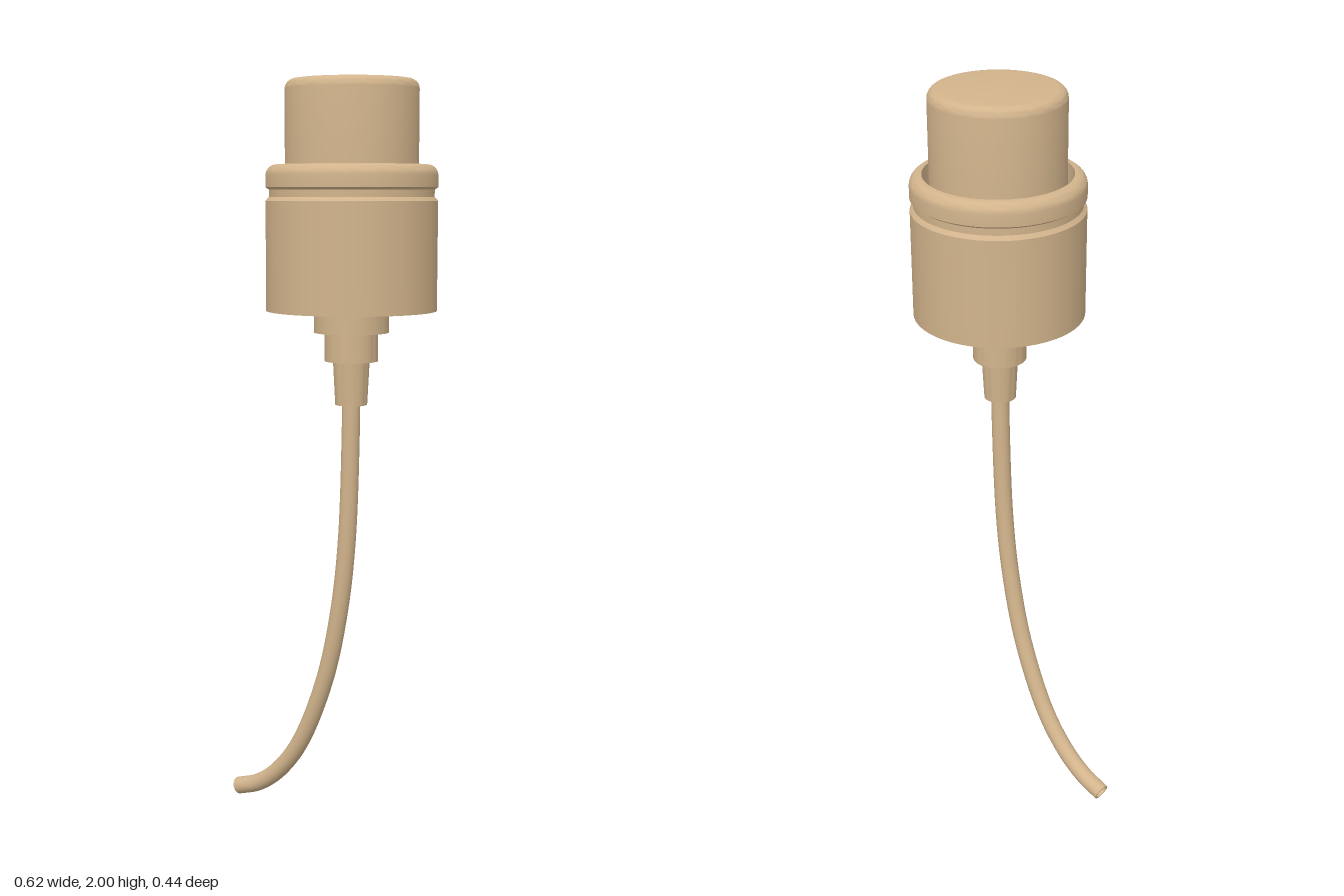
import * as THREE from 'three';
import { toCreasedNormals } from 'three/addons/utils/BufferGeometryUtils.js';

const AXIS_X = 0.088; // the pump stands off-centre because the dip tube bends to -x

export function createModel() {
  const model = new THREE.Group();
  model.name = 'dispenserPump';
  const material = new THREE.MeshStandardMaterial({ color: 0xd2b48c, side: THREE.DoubleSide });

  const add = (name, geometry, x = 0) => {
    const mesh = new THREE.Mesh(geometry, material);
    mesh.name = name;
    mesh.position.x = x;
    model.add(mesh);
    return mesh;
  };

  // Turned part from [radius, y] points, counter-clockwise in section
  const turned = (name, points) => {
    const profile = points.map(([r, y]) => new THREE.Vector2(r, y));
    add(name, toCreasedNormals(new THREE.LatheGeometry(profile, 96), 0.6), AXIS_X);
  };

  // Quarter-round corner points around (r, y), between two angles
  const arc = (r, y, radius, from, to, steps = 6) =>
    Array.from({ length: steps + 1 }, (_, i) => {
      const a = from + ((to - from) * i) / steps;
      return [r + radius * Math.cos(a), y + radius * Math.sin(a)];
    });

  // Push button with a rounded rim
  turned('pushButton', [
    [0, 1.7], [0.172, 1.7],
    ...arc(0.147, 1.975, 0.025, 0, Math.PI / 2),
    [0, 2],
  ]);

  // Hollow collar: thin skirt, groove, rounded bead, well around the button
  turned('collar', [
    [0.21, 1.412], [0.222, 1.412],
    [0.222, 1.694], [0.213, 1.704], [0.213, 1.722], [0.222, 1.728],
    ...arc(0.194, 1.758, 0.028, 0, Math.PI / 2),
    [0.19, 1.786], [0.19, 1.7], [0, 1.7],
    [0, 1.68], [0.21, 1.68], [0.21, 1.412],
  ]);

  // Stepped pump housing
  turned('pumpHousing', [
    [0.024, 1.165], [0.042, 1.165], [0.048, 1.28],
    [0.07, 1.28], [0.07, 1.355],
    [0.098, 1.355], [0.098, 1.68],
  ]);

  // Curved hollow dip tube
  const path = new THREE.CatmullRomCurve3(
    [
      [0.088, 1.25], [0.087, 1.1], [0.075, 0.8], [0.05, 0.6], [0.002, 0.4],
      [-0.085, 0.2], [-0.165, 0.1], [-0.235, 0.05], [-0.305, 0.025],
    ].map(([x, y]) => new THREE.Vector3(x, y, 0)),
    false, 'centripetal'
  );
  const OUTER = 0.024, INNER = 0.019;
  add('dipTube', new THREE.TubeGeometry(path, 80, OUTER, 32));
  add('dipTubeBore', new THREE.TubeGeometry(path, 80, INNER, 32));
  const rim = add('dipTubeRim', new THREE.RingGeometry(INNER, OUTER, 32));
  rim.position.copy(path.getPointAt(1));
  rim.lookAt(rim.position.clone().add(path.getTangentAt(1)));

  return model;
}
